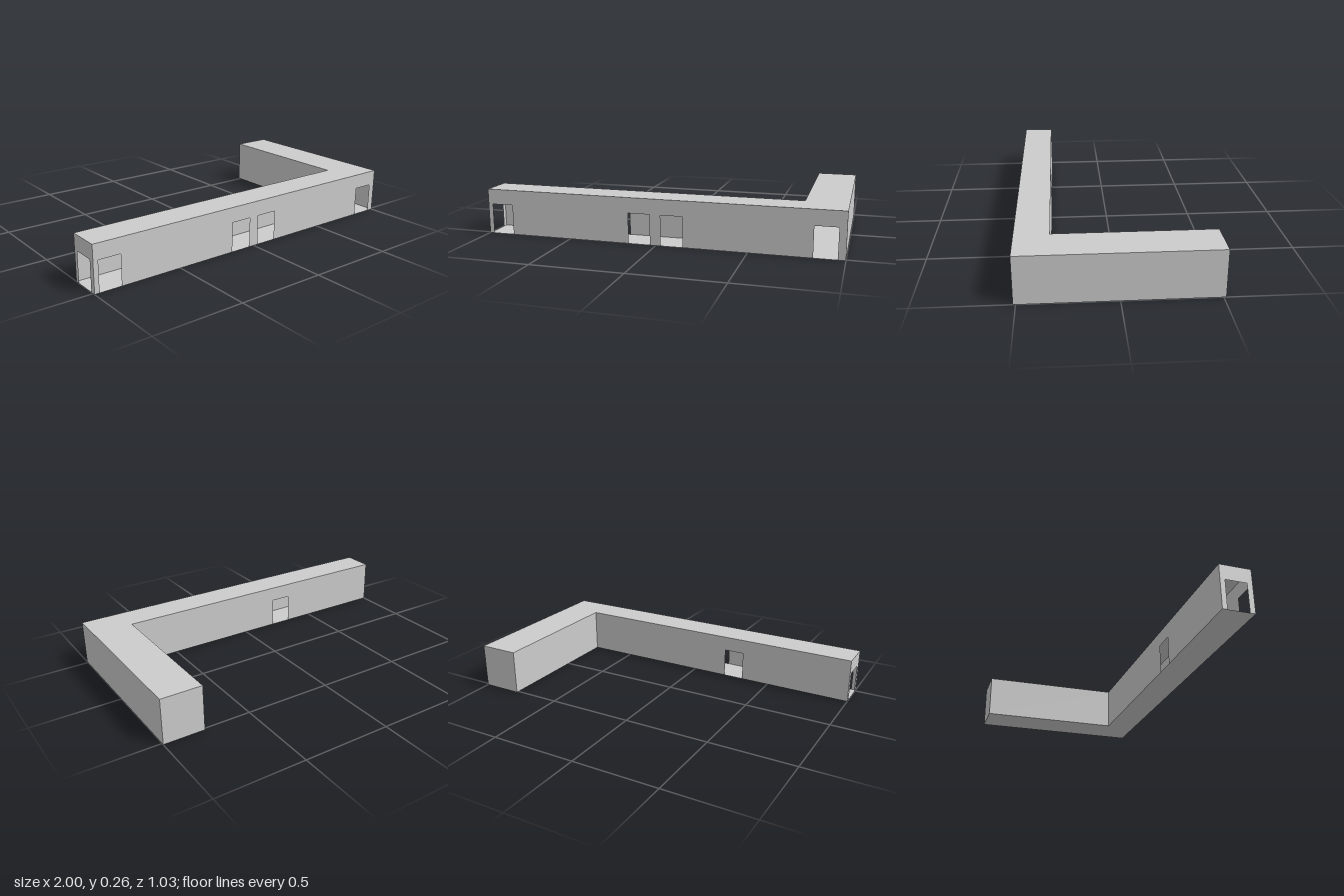
import * as THREE from 'three';

const HEIGHT = 0.256, DOOR_HEIGHT = 0.17;

// L-shaped footprint as [x, z] corners, with door spans measured along each wall
const WALLS = [
  { name: 'frontWall', from: [-1, 0.513], to: [1, 0.513], doors: [[0.027, 0.15], [0.845, 0.967], [1.027, 1.15], [1.837, 1.96]] },
  { name: 'outerSideWall', from: [1, 0.513], to: [1, -0.513], doors: [] },
  { name: 'shortWingEndWall', from: [1, -0.513], to: [0.77, -0.513], doors: [] },
  { name: 'innerSideWall', from: [0.77, -0.513], to: [0.77, 0.332], doors: [] },
  { name: 'backWall', from: [0.77, 0.332], to: [-1, 0.332], doors: [[0.98, 1.1]] },
  { name: 'longWingEndWall', from: [-1, 0.332], to: [-1, 0.513], doors: [[0.028, 0.15]] },
];

export function createModel() {
  const building = new THREE.Group();
  building.name = 'building';
  const material = new THREE.MeshStandardMaterial({ color: 0xcccccc, side: THREE.DoubleSide });

  const add = (name, geometry) => {
    const mesh = new THREE.Mesh(geometry, material);
    mesh.name = name;
    building.add(mesh);
    return mesh;
  };

  // Thin walls with doorways notched up from the floor line
  for (const { name, from, to, doors } of WALLS) {
    const dx = to[0] - from[0], dz = to[1] - from[1];
    const length = Math.hypot(dx, dz);
    const outline = new THREE.Shape().moveTo(0, 0);
    for (const [a, b] of doors) {
      outline.lineTo(a, 0).lineTo(a, DOOR_HEIGHT).lineTo(b, DOOR_HEIGHT).lineTo(b, 0);
    }
    outline.lineTo(length, 0).lineTo(length, HEIGHT).lineTo(0, HEIGHT);
    const wall = add(name, new THREE.ShapeGeometry(outline));
    wall.position.set(from[0], 0, from[1]);
    wall.rotation.y = Math.atan2(-dz, dx);
  }

  // Floor and flat roof share the footprint
  const footprint = new THREE.Shape(WALLS.map(({ from: [x, z] }) => new THREE.Vector2(x, -z)));
  const slab = new THREE.ShapeGeometry(footprint).rotateX(-Math.PI / 2);
  add('floor', slab);
  add('roof', slab).position.y = HEIGHT;

  // Two low steps inside the short wing
  [[0.88, 0, 0.018], [0.892, 0.018, 0.037]].forEach(([x, low, high], i) => {
    const depth = 0.12 - i * 0.024;
    const step = add('innerStep' + (i + 1), new THREE.BoxGeometry(0.998 - x, high - low, depth));
    step.position.set((0.998 + x) / 2, (low + high) / 2, -0.511 + depth / 2);
  });

  return building;
}
